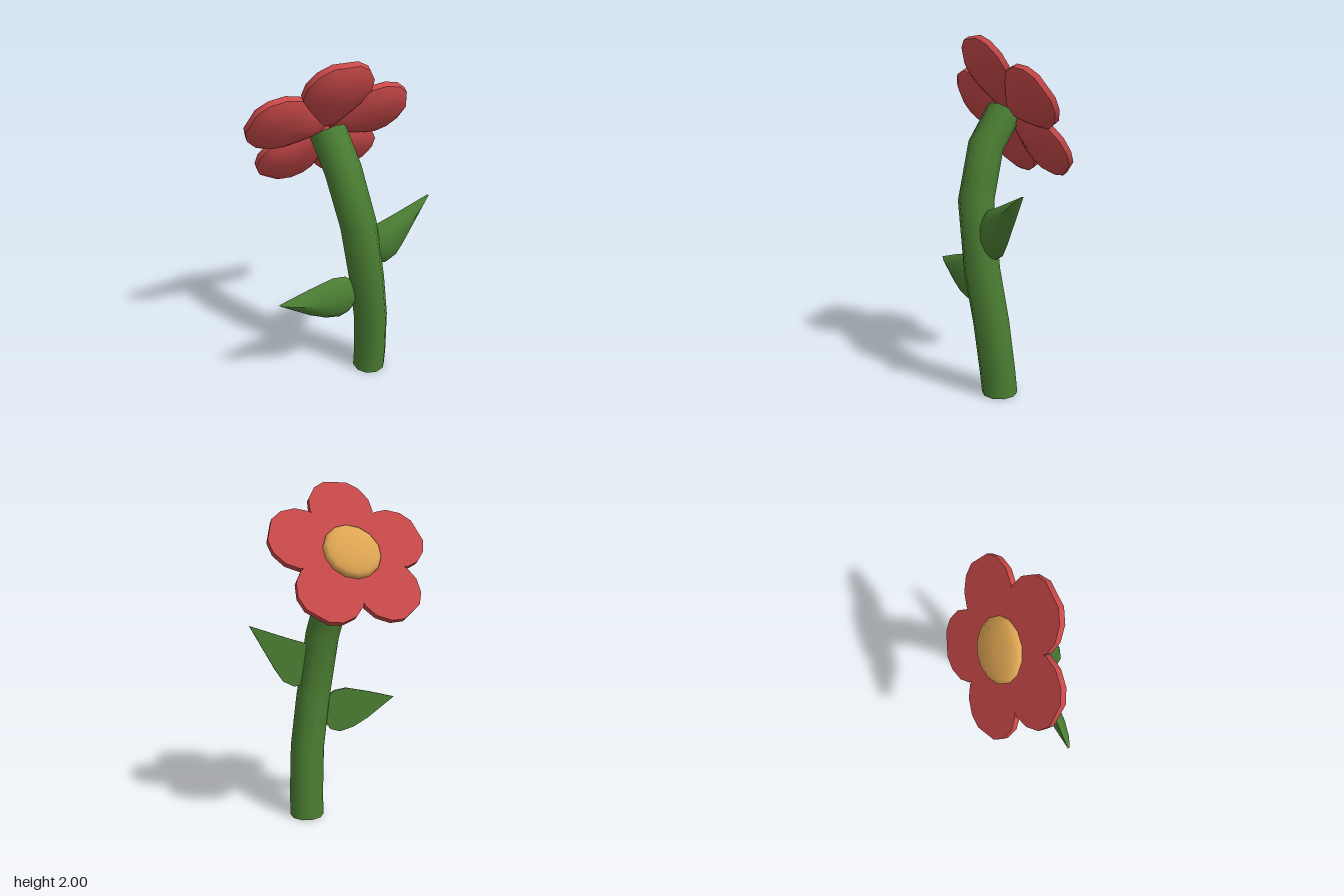
import * as THREE from 'three';
import { toCreasedNormals } from 'three/addons/utils/BufferGeometryUtils.js';

const material = (name, color) => {
  const m = new THREE.MeshStandardMaterial({ color });
  m.name = name;
  return m;
};

const mesh = (name, geometry, mat) => {
  const m = new THREE.Mesh(geometry, mat);
  m.name = name;
  return m;
};

// Plate with a flat face at z = 0 (facing -z) and a domed face towards +z.
// outline runs counter-clockwise seen from +z; each ring is [scale, depth].
function domedPlate(outline, [cx, cy], rings, top) {
  const n = outline.length;
  const pos = [];
  const index = [];
  for (const [s, d] of rings) {
    for (const [x, y] of outline) pos.push(cx + (x - cx) * s, cy + (y - cy) * s, d);
  }
  const back = rings.length * n;
  const peak = back + 1;
  pos.push(cx, cy, 0, cx, cy, top);
  const last = (rings.length - 1) * n;
  for (let i = 0; i < n; i++) {
    const j = (i + 1) % n;
    index.push(back, j, i);
    for (let r = 0; r < last; r += n) {
      index.push(r + i, r + j, r + n + j, r + i, r + n + j, r + n + i);
    }
    index.push(last + i, last + j, peak);
  }
  const g = new THREE.BufferGeometry();
  g.setAttribute('position', new THREE.Float32BufferAttribute(pos, 3));
  g.setIndex(index);
  return toCreasedNormals(g, 0.8);
}

// Cylinder whose rings are moved onto the points of a bent path.
function bentStem(path, radius, sides) {
  const pts = path.map((p) => new THREE.Vector3(...p));
  const n = pts.length - 1;
  const g = new THREE.CylinderGeometry(radius, radius, 1, sides, n);
  const p = g.attributes.position;
  const v = new THREE.Vector3();
  const up = new THREE.Vector3(0, 1, 0);
  const q = new THREE.Quaternion();
  for (let i = 0; i < p.count; i++) {
    const k = Math.round((p.getY(i) + 0.5) * n);
    const tangent = k === 0 ? up : pts[Math.min(k + 1, n)].clone().sub(pts[k - 1]).normalize();
    q.setFromUnitVectors(up, tangent);
    v.set(p.getX(i), 0, p.getZ(i)).applyQuaternion(q).add(pts[k]);
    p.setXYZ(i, v.x, v.y, v.z);
  }
  return toCreasedNormals(g, 0.9);
}

export function createModel() {
  const red = material('petal red', 0xc74848);
  const gold = material('centre gold', 0xdfa653);
  const green = material('leaf green', 0x4a7d32);
  const model = new THREE.Group();
  model.name = 'flower';

  // Stem
  const stemPath = [
    [0.178, 0, 0.148], [0.176, 0.13, 0.161], [0.157, 0.42, 0.19], [0.108, 0.72, 0.22],
    [0.045, 1.1, 0.22], [-0.005, 1.4, 0.127], [-0.033, 1.58, -0.005],
  ];
  model.add(mesh('stem', bentStem(stemPath, 0.102, 10), green));

  // Leaves
  const leafRings = [[1, 0], [1, 0.012], [0.8, 0.04], [0.5, 0.062]];
  const leftOutline = [
    [0.5, 1.18], [0.28, 1.1], [0.16, 1.06], [0.1, 1], [0.09, 0.9],
    [0.12, 0.83], [0.17, 0.805], [0.235, 0.8], [0.3, 0.835], [0.35, 0.91],
  ];
  const rightOutline = [
    [-0.43, 0.68], [-0.25, 0.56], [-0.15, 0.51], [-0.06, 0.49], [0.0, 0.51],
    [0.05, 0.57], [0.06, 0.65], [0.03, 0.715], [-0.02, 0.755], [-0.1, 0.765], [-0.25, 0.73],
  ];
  const leftLeaf = mesh('leftLeaf', domedPlate(leftOutline, [0.23, 0.95], leafRings, 0.07), green);
  leftLeaf.position.z = 0.2;
  const rightLeaf = mesh('rightLeaf', domedPlate(rightOutline, [-0.09, 0.63], leafRings, 0.07), green);
  rightLeaf.position.z = 0.19;
  model.add(leftLeaf, rightLeaf);

  // Flower head, tilted up and towards the back
  const head = new THREE.Group();
  head.name = 'flowerHead';
  head.position.set(-0.026, 1.602, -0.07);
  head.rotation.x = 0.57;
  model.add(head);

  // Five petals
  const half = [[0.03, 0.02], [0.11, 0.12], [0.165, 0.2], [0.193, 0.275], [0.185, 0.355], [0.138, 0.43], [0.07, 0.472]];
  const petalOutline = [...half, ...half.map(([x, y]) => [-x, y]).reverse()];
  const petalRings = [[1, 0], [1, 0.034], [0.82, 0.06], [0.5, 0.08]];
  const petalGeometry = domedPlate(petalOutline, [0, 0.27], petalRings, 0.088);
  for (let i = 0; i < 5; i++) {
    const petal = mesh('petal' + (i + 1), petalGeometry, red);
    petal.rotation.z = (i * Math.PI * 2) / 5;
    head.add(petal);
  }

  // Domed centre
  const profile = [[0.17, -0.01], [0.17, 0.015], [0.15, 0.034], [0.105, 0.047], [0.05, 0.055], [0, 0.057]];
  const centre = mesh('flowerCentre', new THREE.LatheGeometry(profile.map(([x, y]) => new THREE.Vector2(x, y)), 14), gold);
  centre.rotation.x = -Math.PI / 2;
  head.add(centre);

  return model;
}
